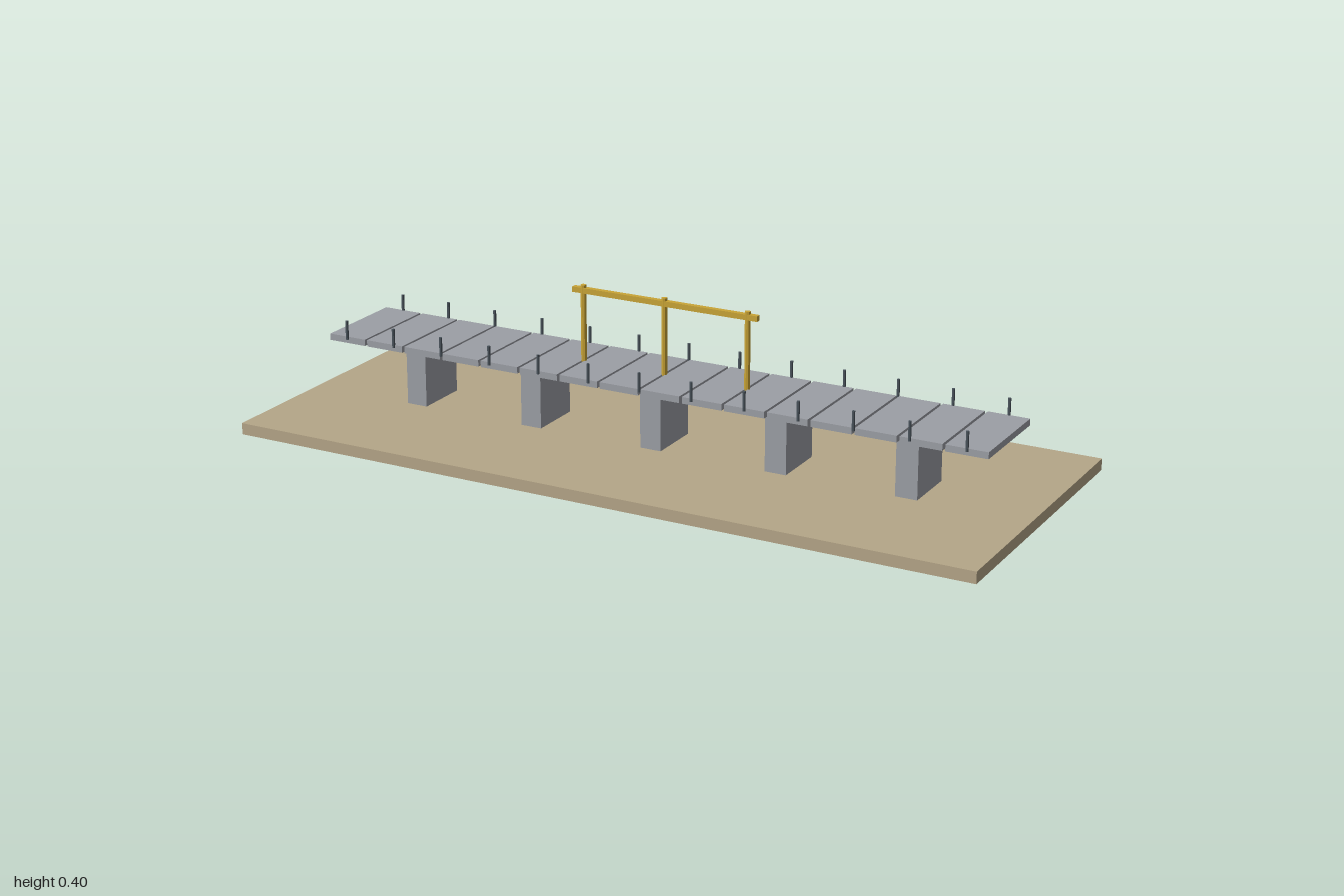
import * as THREE from 'three';

const paint = (color) => new THREE.MeshStandardMaterial({ color, flatShading: true });

export function createModel() {
  const model = new THREE.Group();
  const sand = paint(0xb5a688), concrete = paint(0x9c9fa5);
  const steel = paint(0x4a545c), gold = paint(0xc9a436);

  const add = (name, geometry, material, x, y, z, parent = model) => {
    const mesh = new THREE.Mesh(geometry, material);
    mesh.name = name;
    mesh.position.set(x, y, z);
    parent.add(mesh);
    return mesh;
  };
  const group = (name) => {
    const g = new THREE.Group();
    g.name = name;
    model.add(g);
    return g;
  };

  // Ground slab
  add('base', new THREE.BoxGeometry(2, 0.03, 0.8), sand, 0, 0.015, 0);

  // Five piers
  const piers = group('piers');
  const pierShape = new THREE.BoxGeometry(0.057, 0.158, 0.144);
  for (let i = -2; i <= 2; i++) add('pier', pierShape, concrete, i * 0.343, 0.109, 0, piers);

  // Sixteen deck panels with narrow gaps
  const deck = group('deck');
  const panelShape = new THREE.BoxGeometry(0.107, 0.017, 0.257);
  for (let i = 0; i < 16; i++) add('deckPanel', panelShape, concrete, (i - 7.5) * 0.1143, 0.196, 0, deck);

  // Thirteen pairs of railing posts
  const railing = group('railing');
  const postShape = new THREE.CylinderGeometry(0.004, 0.004, 0.05, 8);
  for (let i = -6; i <= 6; i++) {
    for (const side of [-1, 1]) add('railingPost', postShape, steel, i * 0.1429, 0.222, side * 0.1286, railing);
  }

  // Gantry along the centre line
  const gantry = group('gantry');
  const columnShape = new THREE.CylinderGeometry(0.0075, 0.0075, 0.2, 8);
  for (let i = -1; i <= 1; i++) add('gantryColumn', columnShape, gold, i * 0.2286, 0.302, 0, gantry);
  add('gantryBeam', new THREE.BoxGeometry(0.514, 0.014, 0.014), gold, 0, 0.388, 0, gantry);

  return model;
}
